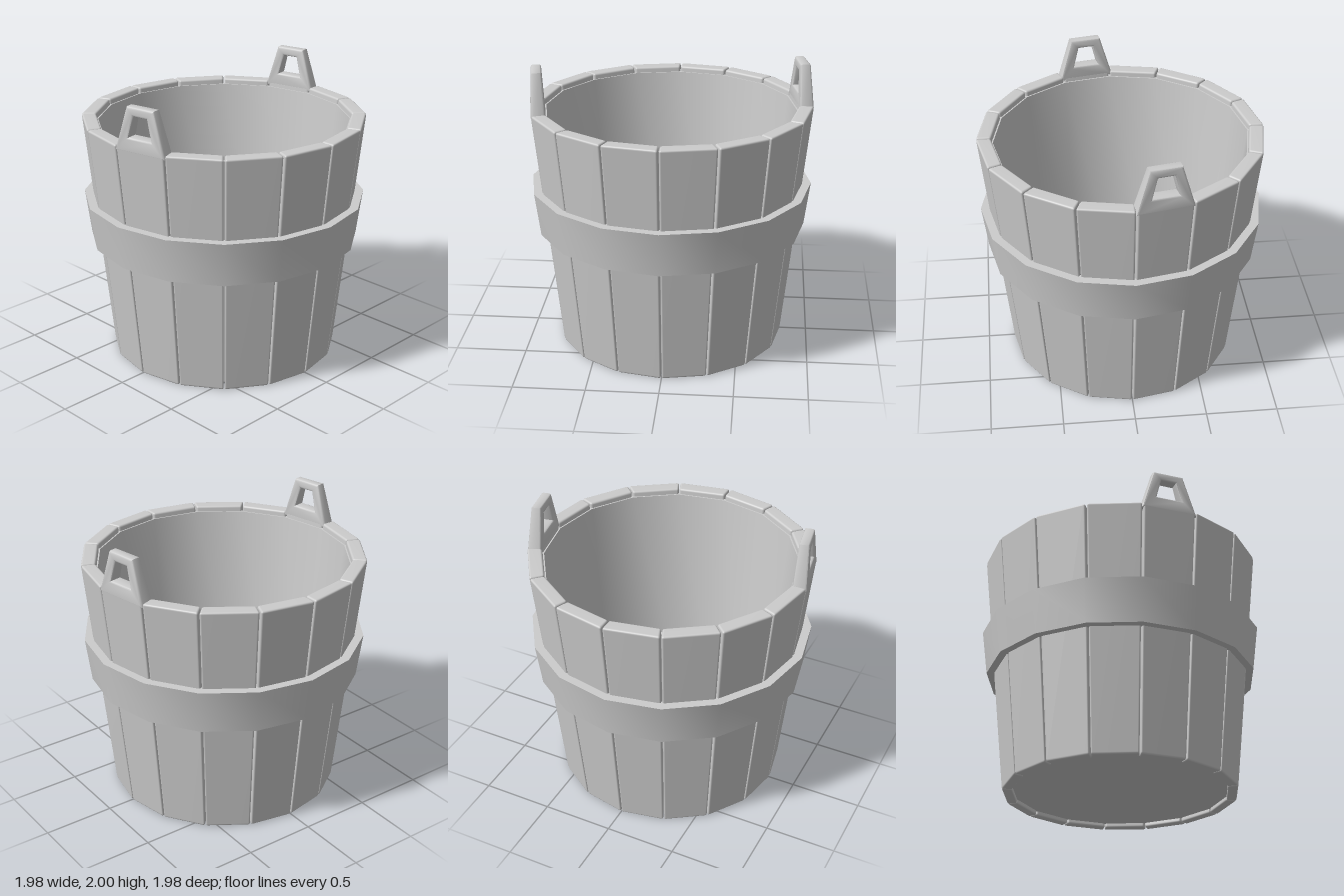
import * as THREE from 'three';
import { mergeVertices, toCreasedNormals } from 'three/addons/utils/BufferGeometryUtils.js';
import { RoundedBoxGeometry } from 'three/addons/geometries/RoundedBoxGeometry.js';

const SIDES = 16, STEP = (Math.PI * 2) / SIDES, HEIGHT = 1.73;
const material = new THREE.MeshStandardMaterial({ color: 0xcccccc });

// Move every vertex of a geometry by a rule
function reshape(geometry, rule) {
  const p = geometry.attributes.position, v = new THREE.Vector3();
  for (let i = 0; i < p.count; i++) {
    rule(v.fromBufferAttribute(p, i));
    p.setXYZ(i, v.x, v.y, v.z);
  }
  return geometry;
}

// Weld a geometry and give it soft normals
function soften(geometry) {
  geometry.deleteAttribute('normal');
  geometry.deleteAttribute('uv');
  const welded = mergeVertices(geometry, 1e-5);
  welded.computeVertexNormals();
  return welded;
}

// One wedge-shaped plank, leaning outward and widening with height
function staveGeometry() {
  const box = new RoundedBoxGeometry(0.36, HEIGHT, 0.1, 2, 0.015);
  return soften(reshape(box, (v) => {
    const t = v.y / HEIGHT + 0.5;
    const outer = THREE.MathUtils.lerp(0.81, 0.99, t) * Math.cos(STEP / 2);
    const thick = THREE.MathUtils.lerp(0.07, 0.1, t);
    const r = outer - thick * (0.5 - v.z / 0.1);
    v.set((v.x / 0.18) * (r * Math.tan(STEP / 2) - 0.004), t * HEIGHT, r);
  }));
}

// Trapezoid lug with a trapezoid hole, thinner toward the top
function lugGeometry() {
  const trapezoid = (Type, wide, y0, narrow, y1) => new Type([
    [-wide, y0], [wide, y0], [narrow, y1], [-narrow, y1],
  ].map(([x, y]) => new THREE.Vector2(x, y)));
  const b = 0.015;
  const shape = trapezoid(THREE.Shape, 0.18, 1.71, 0.096, 2 - b);
  shape.holes.push(trapezoid(THREE.Path, 0.107, 1.785, 0.065, 1.955));
  const lug = new THREE.ExtrudeGeometry(shape, {
    depth: 0.1 - 2 * b, bevelThickness: b, bevelSize: b, bevelSegments: 2,
  });
  reshape(lug, (v) => {
    const t = THREE.MathUtils.clamp((v.y - HEIGHT) / 0.27, 0, 1);
    v.z = 0.92 + (v.z - 0.05 + b) * (1 - 0.3 * t);
  });
  lug.deleteAttribute('uv');
  return toCreasedNormals(lug, 0.9);
}

// Sixteen-sided turned part; profile runs up the outside, down the inside
function turned(profile) {
  const lathe = new THREE.LatheGeometry(profile.map(([r, y]) => new THREE.Vector2(r, y)), SIDES);
  return toCreasedNormals(lathe, 0.6);
}

export function createModel() {
  const bucket = new THREE.Group();
  bucket.name = 'bucket';
  const add = (name, geometry, angle = 0) => {
    const mesh = new THREE.Mesh(geometry, material);
    mesh.name = name;
    mesh.rotation.y = angle;
    bucket.add(mesh);
  };

  // Ring of planks
  const stave = staveGeometry();
  for (let i = 0; i < SIDES; i++) add('stave', stave, (i + 0.5) * STEP);

  // Opposite lugs, each standing on one plank
  const lug = lugGeometry();
  add('frontLug', lug, STEP / 2);
  add('backLug', lug, STEP / 2 + Math.PI);

  // Inner lining with the floor
  add('liningAndFloor', turned([
    [0, 0.03], [0.75, 0.03], [0.9, 1.69], [0.875, 1.69], [0.718, 0.15], [0, 0.15],
  ]));

  // Band around the middle
  add('hoop', turned([
    [0.95, 0.85], [0.99, 1.16], [0.91, 1.16], [0.88, 0.85], [0.95, 0.85],
  ]));

  return bucket;
}
